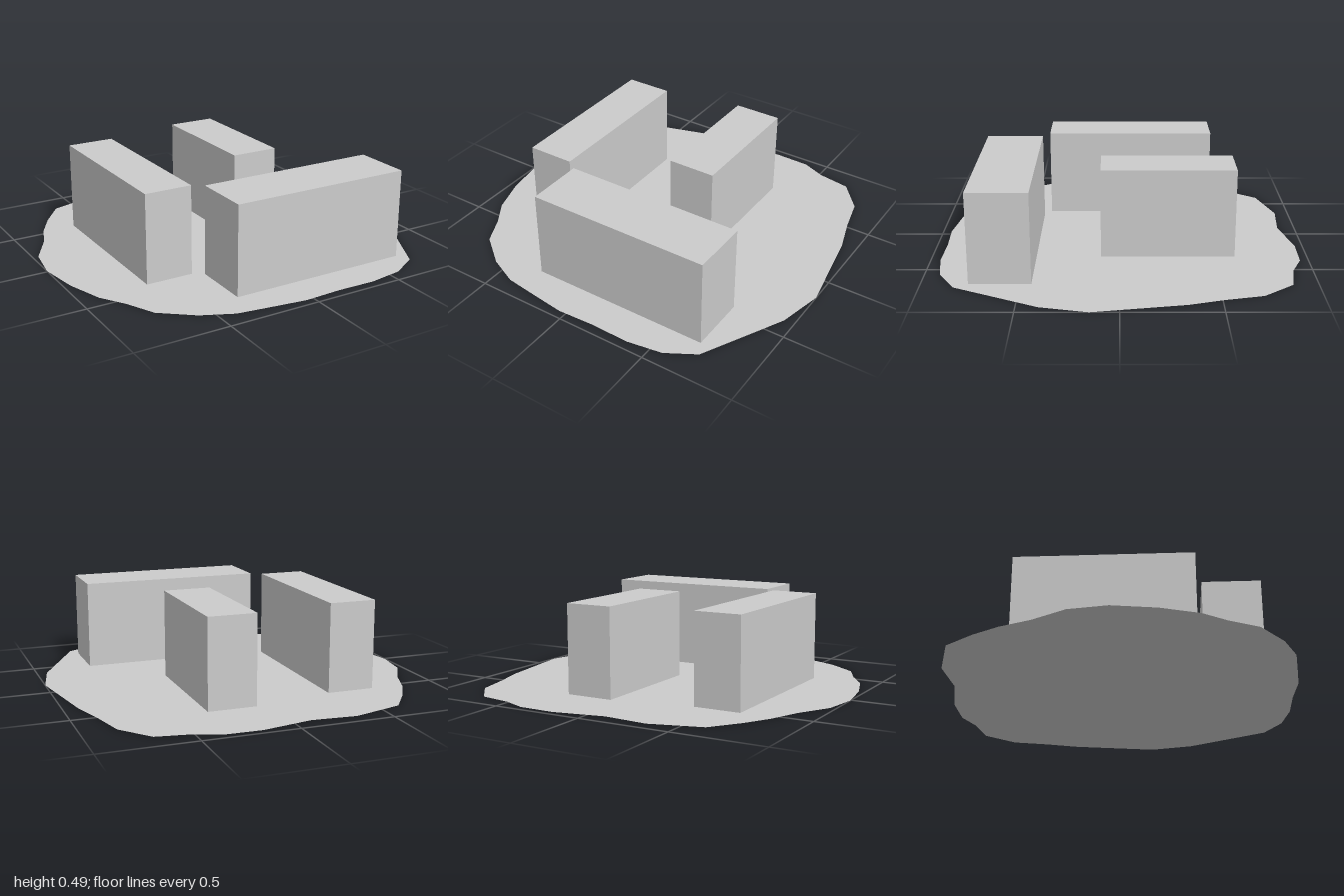
import * as THREE from 'three';

export function createModel() {
  const model = new THREE.Group();
  const grey = new THREE.MeshStandardMaterial({ color: 0xcccccc, flatShading: true });
  const thin = grey.clone();
  thin.side = THREE.DoubleSide;

  // Flat, irregular plot of ground: outline as [x, z]
  const outline = [
    [-1, -0.01], [-0.97, -0.21], [-0.87, -0.385], [-0.805, -0.55], [-0.725, -0.69],
    [-0.61, -0.845], [-0.335, -0.925], [-0.095, -0.905], [0.18, -0.96], [0.38, -0.955],
    [0.51, -0.9], [0.69, -0.87], [0.82, -0.71], [0.865, -0.515], [0.92, -0.33],
    [1, 0.145], [0.945, 0.39], [0.72, 0.83], [0.565, 0.92], [0.375, 0.95],
    [0.165, 0.945], [-0.04, 0.955], [-0.23, 0.93], [-0.41, 0.905], [-0.575, 0.83],
    [-0.74, 0.7], [-0.815, 0.545], [-0.9, 0.415], [-0.965, 0.215],
  ];
  const shape = new THREE.Shape(outline.map(([x, z]) => new THREE.Vector2(x, -z)));
  const ground = new THREE.Mesh(new THREE.ShapeGeometry(shape).rotateX(-Math.PI / 2), thin);
  ground.name = 'ground';
  model.add(ground);

  // Three equally tall blocks, each given by its footprint
  const height = 0.483, base = 0.002;
  function addBlock(name, x0, x1, z0, z1) {
    const block = new THREE.Mesh(new THREE.BoxGeometry(x1 - x0, height, z1 - z0), grey);
    block.position.set((x0 + x1) / 2, base + height / 2, (z0 + z1) / 2);
    block.name = name;
    model.add(block);
  }
  addBlock('rightBlock', -0.63, -0.372, -0.53, 0.405);
  addBlock('leftBlock', 0.07, 0.333, -0.613, 0.1);
  addBlock('frontBlock', -0.315, 0.684, 0.443, 0.76);

  return model;
}
